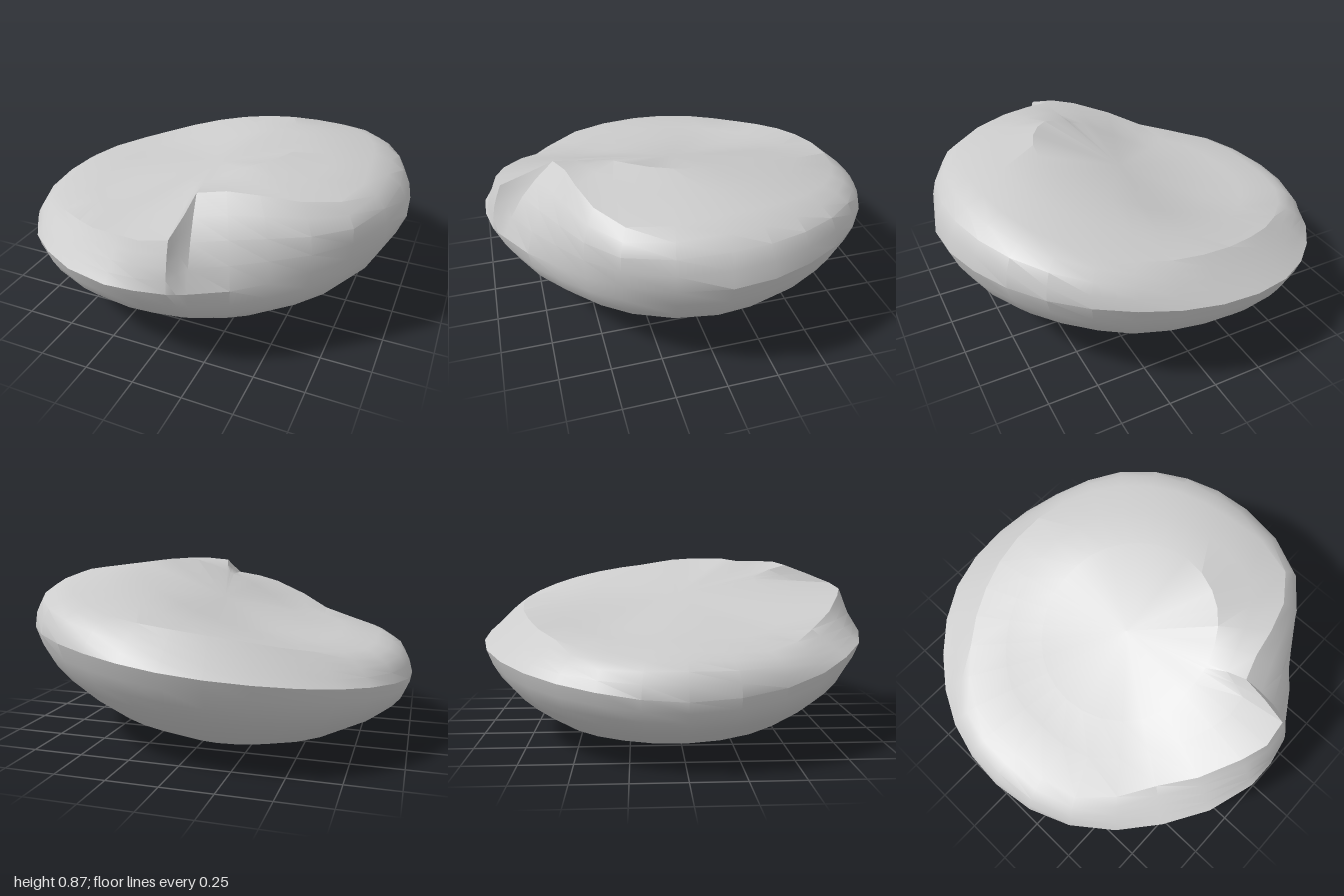
import * as THREE from 'three';
import { toCreasedNormals } from 'three/addons/utils/BufferGeometryUtils.js';

// Sixteen directions round the stone in degrees: +x, then +z, -x, -z.
// The close pair at 75 and 80 forms the notch at the front.
const angles = [0, 28, 52, 75, 80, 97, 126, 154, 180, 202.5, 225, 247.5, 270, 292.5, 315, 337.5];

// Radius and height of each loop in those directions
const rim = {
  r: [1, 0.935, 0.875, 0.935, 0.965, 0.985, 0.96, 0.985, 1, 1.01, 1.01, 1.02, 1, 0.99, 1.0, 1.0],
  y: [0.58, 0.55, 0.5, 0.5, 0.51, 0.5, 0.44, 0.37, 0.34, 0.37, 0.41, 0.46, 0.5, 0.54, 0.57, 0.58],
};
const shoulder = {
  r: [0.8, 0.86, 0.71, 0.65, 0.9, 0.865, 0.785, 0.86, 0.82, 0.86, 0.83, 0.81, 0.82, 0.84, 0.83, 0.81],
  y: [0.82, 0.81, 0.85, 0.84, 0.74, 0.69, 0.56, 0.51, 0.52, 0.51, 0.54, 0.6, 0.65, 0.69, 0.75, 0.8],
};
const crown = {
  r: new Array(16).fill(0.45),
  y: [0.86, 0.87, 0.86, 0.79, 0.77, 0.71, 0.6, 0.57, 0.56, 0.56, 0.57, 0.61, 0.67, 0.74, 0.79, 0.83],
};
const flank = {
  r: [0.73, 0.72, 0.7, 0.7, 0.71, 0.74, 0.8, 0.85, 0.88, 0.87, 0.85, 0.82, 0.8, 0.8, 0.78, 0.75],
  y: [0.2, 0.21, 0.21, 0.2, 0.2, 0.2, 0.2, 0.18, 0.16, 0.16, 0.17, 0.19, 0.22, 0.24, 0.25, 0.22],
};
const base = {
  r: [0.4, 0.39, 0.38, 0.37, 0.37, 0.38, 0.44, 0.5, 0.52, 0.52, 0.5, 0.46, 0.42, 0.4, 0.4, 0.4],
  y: [0.05, 0.05, 0.04, 0.04, 0.04, 0.03, 0.02, 0.02, 0.02, 0.02, 0.01, 0.01, 0.01, 0.02, 0.03, 0.04],
};
const pole = (y) => ({ r: new Array(16).fill(0), y: new Array(16).fill(y) });

// Roundness above the rim (zero where a flat bevel runs), below it and on top
const edgeBulge = [0.05, 0.045, 0.04, 0.03, 0.01, 0, 0, 0.025, 0.04, 0.025, 0, 0, 0, 0.02, 0.045, 0.05];
const sideBulge = [0.04, 0.045, 0.05, 0.05, 0.04, 0.03, 0.03, 0.03, 0.03, 0.03, 0.03, 0.03, 0.03, 0.03, 0.035, 0.04];
const noBulge = new Array(16).fill(0);

// Loops strictly between a and b, pushed outward and by lift in height
function between(a, b, steps, bulge, lift) {
  const rows = [];
  for (let s = 1; s < steps; s++) {
    const t = s / steps, k = Math.sin(Math.PI * t);
    rows.push({
      r: a.r.map((v, i) => v + (b.r[i] - v) * t + bulge[i] * k),
      y: a.y.map((v, i) => v + (b.y[i] - v) * t + bulge[i] * k * lift),
    });
  }
  return rows;
}

// Smooth periodic sampling of a 16-value loop
function sample(values, u) {
  const i = Math.floor(u), t = u - i;
  const [a, b, c, d] = [-1, 0, 1, 2].map((k) => values[(i + k + 16) % 16]);
  return b + 0.5 * t * (c - a + t * (2 * a - 5 * b + 4 * c - d + t * (3 * (b - c) + d - a)));
}

// Direction in radians at position u along the loop
function direction(u) {
  const i = Math.floor(u);
  const next = i === 15 ? 360 : angles[i + 1];
  return THREE.MathUtils.degToRad(angles[i] + (next - angles[i]) * (u - i));
}

function stoneGeometry(columns) {
  const rows = [
    pole(0), base, ...between(base, flank, 2, sideBulge, -0.3), flank,
    ...between(flank, rim, 4, sideBulge, -0.3), rim,
    ...between(rim, shoulder, 4, edgeBulge, 0.7), shoulder,
    ...between(shoulder, crown, 2, noBulge, 0), crown, pole(0.69),
  ];
  const positions = [], index = [];
  for (const row of rows) {
    for (let i = 0; i < columns; i++) {
      const u = (i * 16) / columns, a = direction(u), r = sample(row.r, u);
      positions.push(r * Math.cos(a), Math.max(0, sample(row.y, u)), r * Math.sin(a));
    }
  }
  // Quads between loops, single triangles at the two poles
  const last = rows.length - 2;
  for (let j = 0; j <= last; j++) {
    for (let i = 0; i < columns; i++) {
      const a = j * columns + i, b = j * columns + ((i + 1) % columns);
      const c = a + columns, d = b + columns;
      if (j < last) index.push(a, c, d);
      if (j > 0) index.push(a, d, b);
    }
  }
  const geometry = new THREE.BufferGeometry();
  geometry.setAttribute('position', new THREE.Float32BufferAttribute(positions, 3));
  geometry.setIndex(index);
  return toCreasedNormals(geometry, 0.48);
}

export function createModel() {
  const group = new THREE.Group();
  group.name = 'rock';
  const stoneGrey = new THREE.MeshStandardMaterial({ color: 0xcccccc });
  stoneGrey.name = 'stone grey';
  const stone = new THREE.Mesh(stoneGeometry(32), stoneGrey);
  stone.name = 'stone';
  group.add(stone);
  return group;
}
